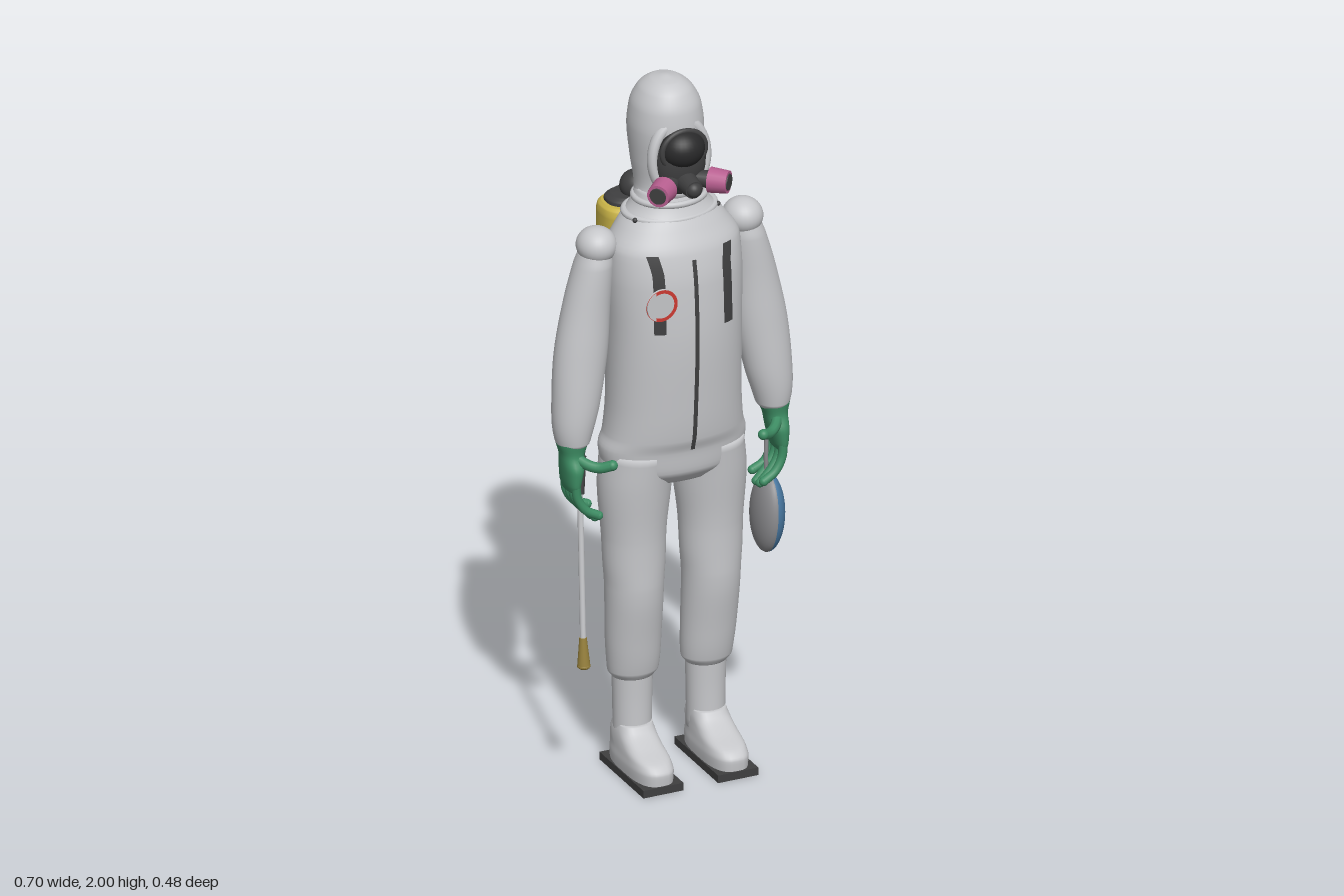
import * as THREE from 'three';

const mat = (name, color) => {
  const m = new THREE.MeshStandardMaterial({ color, side: THREE.DoubleSide });
  m.name = name;
  return m;
};
const V = (p) => new THREE.Vector3(...p);

// Smooth, overshoot-free interpolation of rows [y, cx, cz, rx, rz] at height y
function sectionAt(rows, y) {
  let i = 0;
  while (i < rows.length - 2 && y > rows[i + 1][0]) i++;
  const h = rows[i + 1][0] - rows[i][0], t = (y - rows[i][0]) / h;
  const slope = (j, k) => (rows[j + 1][k] - rows[j][k]) / (rows[j + 1][0] - rows[j][0]);
  const tangent = (j, k) => {
    if (j === 0) return slope(0, k);
    if (j === rows.length - 1) return slope(j - 1, k);
    const a = slope(j - 1, k), b = slope(j, k);
    return a * b <= 0 ? 0 : (2 * a * b) / (a + b);
  };
  return [1, 2, 3, 4].map((k) => {
    const t2 = t * t, t3 = t2 * t;
    return (2 * t3 - 3 * t2 + 1) * rows[i][k] + (t3 - 2 * t2 + t) * h * tangent(i, k)
      + (3 * t2 - 2 * t3) * rows[i + 1][k] + (t3 - t2) * h * tangent(i + 1, k);
  });
}

// Closed body through horizontal superellipse sections, listed from bottom to top
function loft(rows, e = 2, n = 32, steps = 5) {
  const ys = [];
  rows.forEach((r, i) => {
    if (i) for (let s = 1; s <= steps; s++) ys.push(rows[i - 1][0] + (r[0] - rows[i - 1][0]) * s / steps);
    else ys.push(r[0]);
  });
  const pos = [], idx = [];
  const pw = (v) => Math.sign(v) * Math.abs(v) ** (2 / e);
  ys.forEach((y) => {
    const [cx, cz, rx, rz] = sectionAt(rows, y);
    for (let j = 0; j < n; j++) {
      const a = (j / n) * Math.PI * 2;
      pos.push(cx + rx * pw(Math.cos(a)), y, cz + rz * pw(Math.sin(a)));
    }
  });
  for (let i = 0; i < ys.length - 1; i++) for (let j = 0; j < n; j++) {
    const a = i * n + j, b = i * n + (j + 1) % n;
    idx.push(a, a + n, b, b, a + n, b + n);
  }
  const last = ys.length - 1, c = ys.length * n;
  const first = rows[0], top = rows[rows.length - 1];
  pos.push(first[1], ys[0], first[2], top[1], ys[last], top[2]);
  for (let j = 0; j < n; j++) {
    const k = (j + 1) % n;
    idx.push(c, j, k, c + 1, last * n + k, last * n + j);
  }
  const g = new THREE.BufferGeometry();
  g.setAttribute('position', new THREE.Float32BufferAttribute(pos, 3));
  g.setIndex(idx);
  g.computeVertexNormals();
  return g;
}

const tube = (pts, r, n = 24) => new THREE.TubeGeometry(new THREE.CatmullRomCurve3(pts.map(V)), n, r, 10);

export function createModel() {
  const root = new THREE.Group();
  const suit = mat('suit grey', 0xc6c7ca), green = mat('glove green', 0x3d8c63);
  const yellow = mat('tank yellow', 0xcbb548), blue = mat('shell blue', 0x47769f);
  const dark = mat('rubber dark', 0x3f3f40), black = mat('visor black', 0x29292a);
  const pink = mat('filter pink', 0xb85f90), brown = mat('nozzle brown', 0x96803c);
  const red = mat('badge red', 0xcc3a32), grey = mat('lining grey', 0x8b8b8e);

  const add = (name, geo, m, p = [0, 0, 0], s = [1, 1, 1], r = [0, 0, 0], parent = root) => {
    const o = new THREE.Mesh(geo, m);
    o.name = name;
    o.position.set(...p); o.scale.set(...s); o.rotation.set(...r);
    parent.add(o);
    return o;
  };
  const ball = (r = 1) => new THREE.SphereGeometry(r, 28, 20);
  const rod = (name, a, b, r0, r1, m, parent = root) => {
    const d = V(b).sub(V(a));
    const o = add(name, new THREE.CylinderGeometry(r1, r0, d.length(), 20), m, V(a).addScaledVector(d, 0.5).toArray(), [1, 1, 1], [0, 0, 0], parent);
    o.quaternion.setFromUnitVectors(new THREE.Vector3(0, 1, 0), d.normalize());
    return o;
  };

  // Coverall body with a hem bulge at the hips
  const torso = [
    [0.86, 0, 0.06, 0.14, 0.085], [0.90, 0, 0.06, 0.195, 0.115], [0.96, 0, 0.06, 0.208, 0.122],
    [1.0, 0, 0.065, 0.196, 0.13], [1.1, 0, 0.07, 0.188, 0.135], [1.3, 0, 0.073, 0.186, 0.142],
    [1.45, 0, 0.07, 0.19, 0.138], [1.54, 0, 0.065, 0.186, 0.126], [1.6, 0, 0.055, 0.15, 0.107],
    [1.65, 0, 0.045, 0.106, 0.09], [1.69, 0, 0.04, 0.088, 0.08]];
  add('torso', loft(torso, 2.15, 48), suit);
  const frontZ = (x, y) => {
    const [, cz, rx, rz] = sectionAt(torso, y);
    return cz + rz * (1 - Math.abs(x / rx) ** 2.15) ** (1 / 2.15);
  };
  // Collar rolls
  for (const [y, rx, rz] of [[1.625, 0.125, 0.095], [1.665, 0.098, 0.086]])
    add('collarFold', new THREE.TorusGeometry(1, 0.09, 10, 40), suit, [0, y, 0.045], [rx, rz, 0.1], [Math.PI / 2, 0, 0]);

  // Thin plates that follow the chest
  const ribbon = (name, x, y0, y1, w, lean = 0) => {
    const g = new THREE.PlaneGeometry(w, y1 - y0, 2, 14).translate(x, (y0 + y1) / 2, 0);
    const p = g.attributes.position;
    for (let i = 0; i < p.count; i++) {
      const px = p.getX(i) + lean * Math.max(0, p.getY(i) - y1 + 0.05);
      p.setXYZ(i, px, p.getY(i), frontZ(px, p.getY(i)) + 0.005);
    }
    g.computeVertexNormals();
    add(name, g, dark);
  };
  ribbon('zip', 0, 0.97, 1.53, 0.012);
  ribbon('chestStrapRight', -0.1, 1.33, 1.55, 0.03, -0.2);
  ribbon('chestStrapLeft', 0.1, 1.33, 1.55, 0.03, 0.2);

  // Plain round badge
  const bz = frontZ(-0.1, 1.42) + 0.012;
  add('badgeDisc', new THREE.CylinderGeometry(0.045, 0.045, 0.008, 32), suit, [-0.1, 1.42, bz], [1, 1, 1], [Math.PI / 2, 0, -0.12]);
  add('badgeRing', new THREE.RingGeometry(0.036, 0.046, 32), red, [-0.1, 1.42, bz + 0.006]);

  // Hood
  add('hood', loft([
    [1.61, 0, 0.045, 0.1, 0.09], [1.66, 0, 0.042, 0.094, 0.086], [1.7, 0, 0.028, 0.088, 0.083],
    [1.77, 0, 0.022, 0.095, 0.095], [1.86, 0, 0.02, 0.101, 0.107], [1.92, 0, 0.02, 0.094, 0.101],
    [1.965, 0, 0.02, 0.073, 0.081], [1.99, 0, 0.02, 0.043, 0.05], [2.0, 0, 0.02, 0.008, 0.01]], 2.1, 40), suit);
  add('hoodRim', new THREE.TorusGeometry(0.079, 0.014, 12, 48), suit, [0, 1.795, 0.106], [1, 1.3, 1.2], [-0.05, 0, 0]);

  // Respirator
  add('maskBody', ball(), dark, [0, 1.785, 0.108], [0.074, 0.098, 0.052]);
  add('visor', ball(), black, [0, 1.828, 0.122], [0.063, 0.054, 0.058]);
  add('visorFrame', new THREE.TorusGeometry(0.06, 0.008, 8, 40), dark, [0, 1.826, 0.135], [1.05, 0.92, 1]);
  rod('snout', [0, 1.74, 0.12], [0, 1.735, 0.2], 0.034, 0.025, dark);
  add('snoutValve', ball(0.022), dark, [0, 1.735, 0.195]);
  for (const s of [-1, 1]) {
    rod('filterMount', [s * 0.03, 1.74, 0.135], [s * 0.075, 1.735, 0.165], 0.02, 0.026, dark);
    rod('filter', [s * 0.066, 1.735, 0.157], [s * 0.104, 1.735, 0.193], 0.035, 0.031, pink);
    rod('filterCap', [s * 0.103, 1.735, 0.192], [s * 0.106, 1.735, 0.195], 0.024, 0.022, dark);
  }

  // Limbs, built for the left side and mirrored
  const fingers = [[0.04, 0.8], [0.064, 0.778], [0.088, 0.782], [0.11, 0.795]];
  for (const s of [1, -1]) {
    const side = new THREE.Group();
    side.name = s > 0 ? 'leftLimbs' : 'rightLimbs';
    side.scale.x = s;
    root.add(side);
    const part = (name, geo, m, p, sc, r) => add(name, geo, m, p, sc, r, side);
    part('shoulder', ball(0.055), suit, [0.215, 1.555, 0.047], [1, 0.92, 1.05]);
    part('sleeve', loft([
      [0.99, 0.294, 0.065, 0.036, 0.04], [1.005, 0.294, 0.065, 0.047, 0.05], [1.12, 0.281, 0.06, 0.067, 0.061],
      [1.25, 0.264, 0.052, 0.074, 0.063], [1.4, 0.243, 0.047, 0.064, 0.06], [1.5, 0.225, 0.047, 0.053, 0.057],
      [1.54, 0.218, 0.047, 0.045, 0.048]]), suit);
    part('trouserLeg', loft([
      [0.275, 0.108, 0.045, 0.058, 0.05], [0.295, 0.108, 0.047, 0.071, 0.06], [0.4, 0.111, 0.055, 0.077, 0.07],
      [0.55, 0.113, 0.065, 0.08, 0.08], [0.62, 0.113, 0.064, 0.085, 0.081], [0.7, 0.113, 0.062, 0.088, 0.084],
      [0.85, 0.11, 0.06, 0.1, 0.1], [0.95, 0.1, 0.06, 0.1, 0.11]]), suit);
    part('ankle', loft([[0.08, 0.108, 0.043, 0.052, 0.052], [0.2, 0.108, 0.043, 0.054, 0.05], [0.3, 0.108, 0.043, 0.057, 0.052]]), suit);
    part('boot', loft([
      [0.015, 0.11, 0.105, 0.056, 0.131], [0.05, 0.11, 0.105, 0.058, 0.133], [0.072, 0.11, 0.098, 0.056, 0.122],
      [0.095, 0.11, 0.07, 0.054, 0.09], [0.12, 0.109, 0.05, 0.052, 0.064], [0.14, 0.108, 0.044, 0.048, 0.052]], 2.8), suit);
    part('sole', new THREE.BoxGeometry(0.118, 0.022, 0.27), dark, [0.11, 0.011, 0.105]);

    // Glove with curled fingers and a forward thumb
    part('gloveHand', loft([
      [0.87, 0.306, 0.075, 0.014, 0.04], [0.89, 0.305, 0.075, 0.02, 0.048], [0.93, 0.302, 0.075, 0.027, 0.05],
      [0.97, 0.299, 0.069, 0.032, 0.04], [1.01, 0.296, 0.065, 0.043, 0.047], [1.02, 0.295, 0.065, 0.035, 0.04]], 2.3, 24), green);
    fingers.forEach(([z, tip]) => {
      part('finger', tube([[0.305, 0.9, z], [0.3, 0.85, z], [0.278, 0.815, z + 0.004], [0.243, tip, z + 0.008]], 0.0125, 12), green);
      part('fingertip', ball(0.0125), green, [0.243, tip, z + 0.008]);
    });
    part('thumb', tube([[0.297, 0.965, 0.09], [0.275, 0.95, 0.12], [0.25, 0.945, 0.14], [0.222, 0.955, 0.16]], 0.0145, 12), green);
    part('thumbTip', ball(0.0145), green, [0.222, 0.955, 0.16]);
    // Harness strap from the tank to the shoulder
    part('harnessStrap', tube([[0.045, 1.53, -0.13], [0.065, 1.56, -0.09], [0.088, 1.61, -0.025], [0.095, 1.625, 0.01]], 0.01), dark);
    part('shoulderStud', ball(0.007), dark, [0.122, 1.625, 0.09]);
  }

  // Backpack tank
  add('tank', loft([
    [1.233, 0, -0.165, 0.075, 0.055], [1.238, 0, -0.165, 0.09, 0.067], [1.25, 0, -0.165, 0.1, 0.076],
    [1.27, 0, -0.165, 0.103, 0.079], [1.53, 0, -0.165, 0.103, 0.079], [1.55, 0, -0.165, 0.1, 0.075],
    [1.56, 0, -0.165, 0.09, 0.066]], 2.6, 40), yellow);
  add('tankLid', loft([[1.55, 0, -0.168, 0.084, 0.058], [1.568, 0, -0.168, 0.083, 0.057], [1.58, 0, -0.168, 0.065, 0.045]], 2.5), dark);
  add('tankCap', ball(0.043), dark, [0, 1.597, -0.163]);
  add('tankSidePanel', new THREE.BoxGeometry(0.012, 0.3, 0.064), dark, [0.1, 1.4, -0.17]);
  add('pumpLever', tube([[0.03, 1.575, -0.18], [0.075, 1.578, -0.185], [0.108, 1.56, -0.175], [0.113, 1.5, -0.17], [0.113, 1.27, -0.17]], 0.01, 40), dark);

  // Hose and spray wand in the right hand
  add('hose', tube([[-0.03, 1.25, -0.16], [-0.1, 1.2, -0.12], [-0.17, 1.12, -0.065], [-0.23, 1.03, 0], [-0.282, 0.94, 0.08]], 0.014, 40), dark);
  rod('wandGrip', [-0.275, 0.96, 0.08], [-0.288, 0.86, 0.1], 0.013, 0.011, dark);
  rod('wand', [-0.288, 0.88, 0.098], [-0.3, 0.44, 0.143], 0.008, 0.008, suit);
  rod('nozzle', [-0.3, 0.375, 0.147], [-0.3, 0.458, 0.142], 0.018, 0.01, brown);
  add('nozzleTip', ball(0.018), brown, [-0.3, 0.378, 0.147], [1, 0.6, 1]);

  // Domed shell held in the left hand, blue outside and grey inside
  const shell = new THREE.Group();
  shell.name = 'handheldShell';
  shell.position.set(0.274, 0.68, 0.072);
  shell.rotation.z = -0.06;
  root.add(shell);
  const half = () => new THREE.SphereGeometry(1, 32, 12, 0, Math.PI * 2, 0, Math.PI / 2);
  add('shellOuter', half(), blue, [0, 0, 0], [0.113, 0.042, 0.072], [0, 0, -Math.PI / 2], shell);
  add('shellInner', half(), grey, [0, 0, 0], [0.113, 0.038, 0.072], [0, 0, Math.PI / 2], shell);
  add('shellStrap', tube([[0.27, 0.92, 0.08], [0.268, 0.85, 0.08], [0.272, 0.77, 0.075]], 0.006), grey);

  return root;
}
